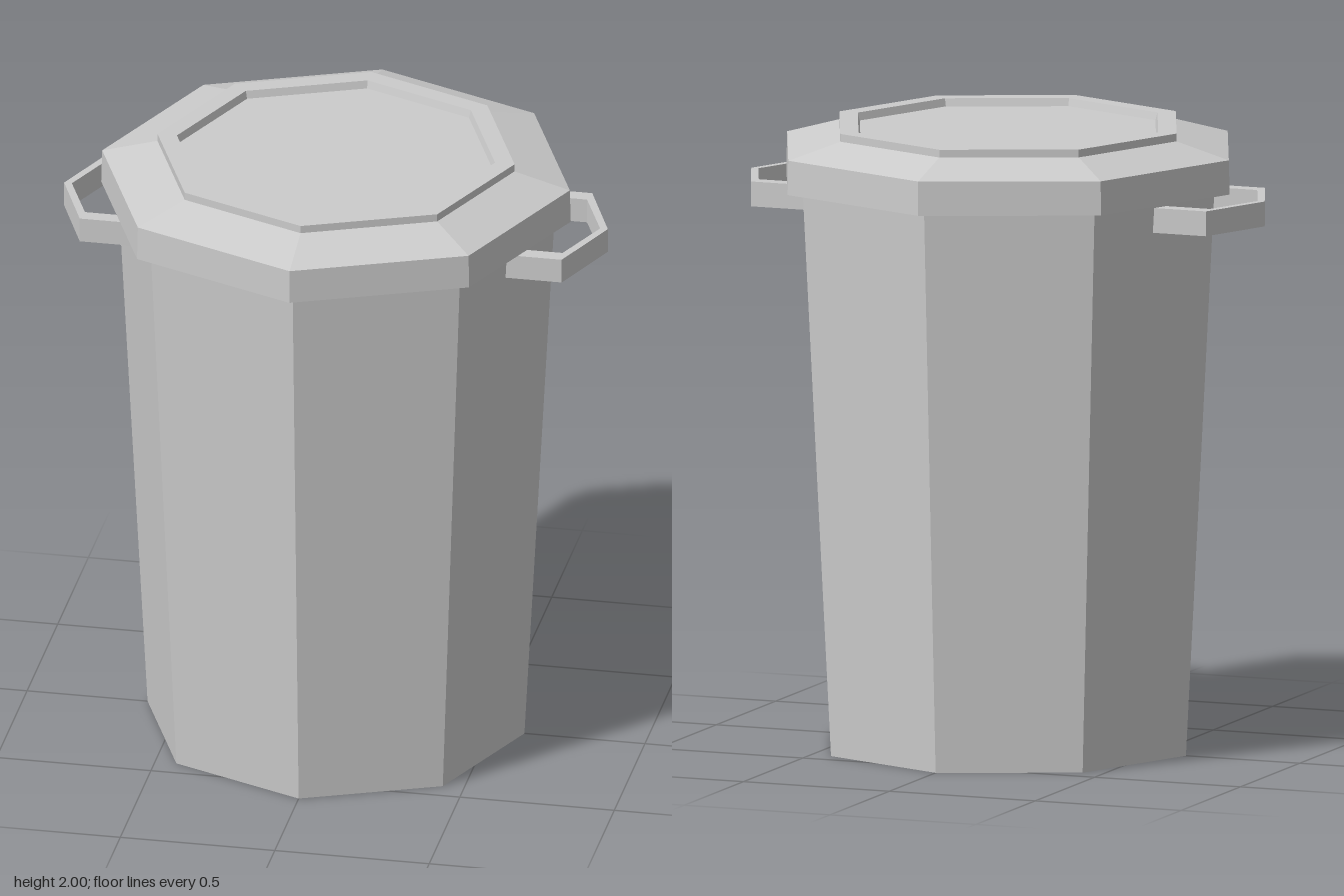
import * as THREE from 'three';

const SIDES = 8;
const material = new THREE.MeshStandardMaterial({ color: 0xcccccc, flatShading: true });

// Octagonal solid from a [radius, height] profile, listed bottom to top along the outside
function octagonal(name, profile) {
  const points = profile.map(([r, y]) => new THREE.Vector2(r, y));
  const mesh = new THREE.Mesh(new THREE.LatheGeometry(points, SIDES), material);
  mesh.name = name;
  return mesh;
}

// Angular grip: a flat, bent bar whose ends sink into the wall
function handle(name, turn) {
  const outline = [
    [0.57, 0.25], [0.78, 0.25], [0.88, 0], [0.78, -0.25], [0.57, -0.25],
    [0.57, -0.2], [0.773, -0.2], [0.855, 0], [0.773, 0.2], [0.57, 0.2],
  ];
  const shape = new THREE.Shape(outline.map(([x, z]) => new THREE.Vector2(x, z)));
  const geometry = new THREE.ExtrudeGeometry(shape, { depth: 0.08, bevelEnabled: false });
  geometry.rotateX(-Math.PI / 2);
  geometry.translate(0, 1.72, 0);
  const mesh = new THREE.Mesh(geometry, material);
  mesh.name = name;
  mesh.rotation.y = turn;
  return mesh;
}

export function createModel() {
  const bin = new THREE.Group();
  bin.name = 'lidded bin';

  // Tapered container with a closed bottom
  bin.add(octagonal('body', [[0, 0], [0.61, 0], [0.707, 1.815]]));

  // Lid: skirt, sloped shoulder, raised rim and shallow recess
  bin.add(octagonal('lid', [
    [0, 1.815], [0.76, 1.815], [0.757, 1.925], [0.578, 1.975],
    [0.578, 2], [0.515, 2], [0.508, 1.975], [0, 1.975],
  ]));

  bin.add(handle('leftHandle', 0), handle('rightHandle', Math.PI));
  return bin;
}
